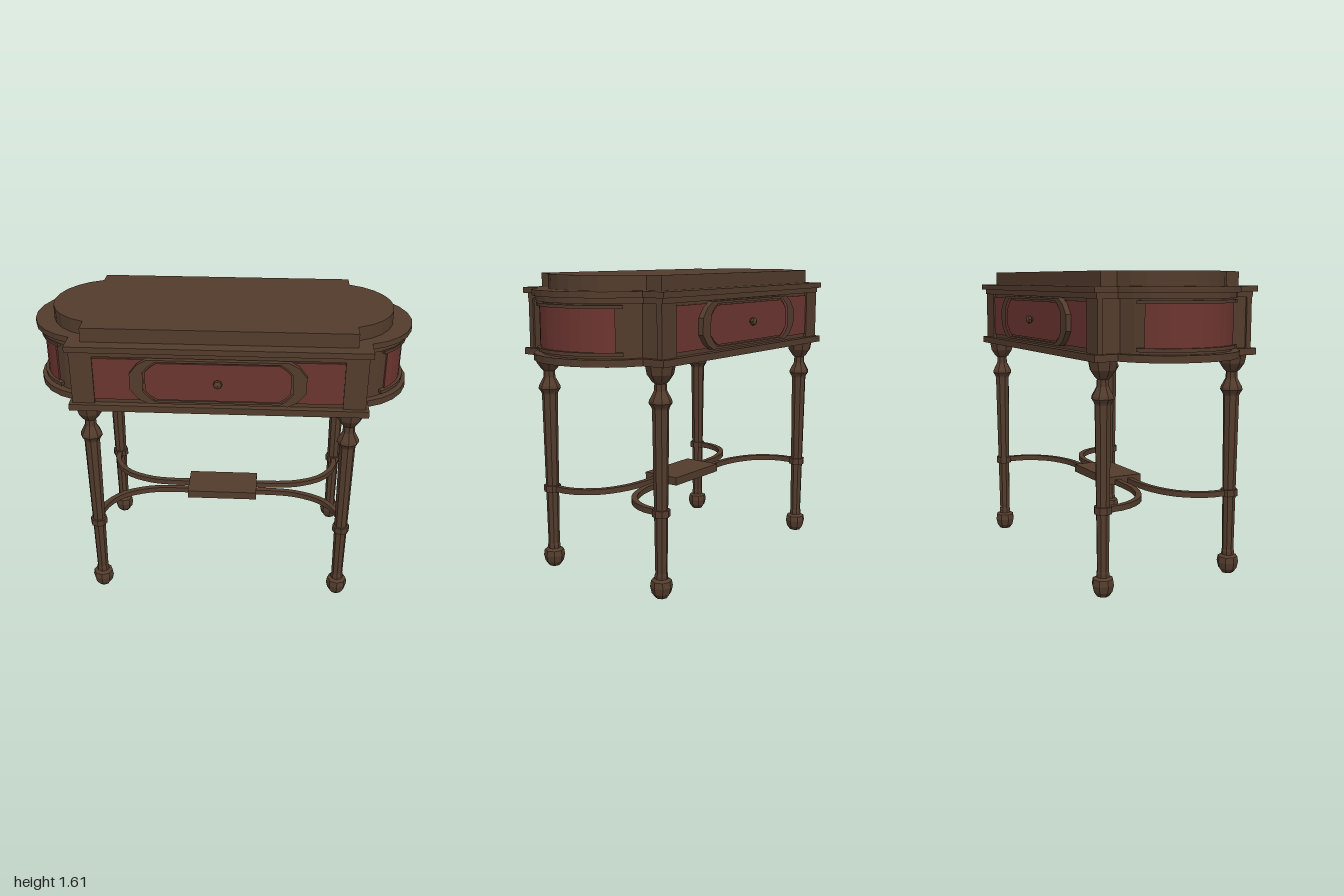
import * as THREE from 'three';

const wood = new THREE.MeshStandardMaterial({ color: 0x533c2d, flatShading: true });
wood.name = 'dark wood';
const red = new THREE.MeshStandardMaterial({ color: 0x6c3530, flatShading: true });
red.name = 'red panel';

// Points of the bowed right end, running from z = +zs to z = -zs
function bow(X, zs, E, n = 10, limit = 1) {
  const cx = X - 0.1, rx = E - cx;
  const t0 = Math.acos(0.1 / rx), rz = zs / Math.sin(t0);
  const pts = [];
  for (let i = 0; i <= n; i++) {
    const t = t0 * limit * (1 - (2 * i) / n);
    pts.push(new THREE.Vector2(cx + rx * Math.cos(t), rz * Math.sin(t)));
  }
  return pts;
}

// Flat slab of a given plan between two heights
function slab(points, y0, y1) {
  const g = new THREE.ExtrudeGeometry(new THREE.Shape(points), { depth: y1 - y0, bevelEnabled: false });
  return g.rotateX(-Math.PI / 2).translate(0, y0, 0);
}

// Rectangle with stepped corners and bowed ends
function plan(X, Z, zs, E) {
  const half = [new THREE.Vector2(X, Z), ...bow(X, zs, E), new THREE.Vector2(X, -Z)];
  return [...half, ...half.map((p) => new THREE.Vector2(-p.x, -p.y))];
}

// Rounded-end panel outline, slightly octagonal
function cartouche(Path, w, h, cut, bulge) {
  const p = new Path();
  const side = [[w - cut, h], [w - cut * 0.45, h * 0.78], [w, h * 0.35 * bulge], [w, -h * 0.35 * bulge],
    [w - cut * 0.45, -h * 0.78], [w - cut, -h]];
  const all = [...side, ...side.map(([x, y]) => [-x, -y])];
  p.setFromPoints(all.map(([x, y]) => new THREE.Vector2(x, y)));
  p.closePath();
  return p;
}

export function createModel() {
  const table = new THREE.Group();
  table.name = 'consoleTable';
  const add = (parent, name, geometry, material = wood, x = 0, y = 0, z = 0) => {
    const m = new THREE.Mesh(geometry, material);
    m.name = name;
    m.position.set(x, y, z);
    parent.add(m);
    return m;
  };
  const box = (w, h, d) => new THREE.BoxGeometry(w, h, d);

  // Stacked top, apron and base moulding
  add(table, 'topSlab', slab(plan(0.69, 0.4, 0.31, 0.9), 1.525, 1.605));
  add(table, 'topMoulding', slab(plan(0.762, 0.468, 0.345, 1.0), 1.502, 1.532));
  add(table, 'underMoulding', slab(plan(0.745, 0.45, 0.335, 0.98), 1.475, 1.504));
  add(table, 'apron', slab(plan(0.735, 0.43, 0.32, 0.95), 1.21, 1.48));
  add(table, 'baseMoulding', slab(plan(0.762, 0.468, 0.345, 0.995), 1.18, 1.215));

  // Drawer faces on front and back
  for (const s of [1, -1]) {
    const face = new THREE.Group();
    face.name = s > 0 ? 'frontFace' : 'backFace';
    face.rotation.y = s > 0 ? 0 : Math.PI;
    table.add(face);
    add(face, 'friezePanel', box(1.26, 0.225, 0.008), red, 0, 1.348, 0.433);
    for (const x of [-1, 1]) add(face, 'cornerPost', box(0.115, 0.265, 0.03), wood, x * 0.6875, 1.3475, 0.43);
    const ring = cartouche(THREE.Shape, 0.443, 0.12, 0.09, 1);
    ring.holes.push(cartouche(THREE.Path, 0.375, 0.108, 0.06, 1.4));
    add(face, 'drawerFrame', new THREE.ExtrudeGeometry(ring, { depth: 0.035, bevelEnabled: false }), wood, 0, 1.35, 0.43);
    const panel = cartouche(THREE.Shape, 0.366, 0.1, 0.06, 1.4);
    add(face, 'drawerPanel', new THREE.ExtrudeGeometry(panel, { depth: 0.008, bevelEnabled: false }), red, 0, 1.35, 0.45);
    const back = cartouche(THREE.Shape, 0.376, 0.109, 0.06, 1.4);
    add(face, 'drawerBacking', new THREE.ExtrudeGeometry(back, { depth: 0.018, bevelEnabled: false }), wood, 0, 1.35, 0.433);
    const knob = new THREE.LatheGeometry([[0, 0], [0.012, 0], [0.012, 0.012], [0.024, 0.02], [0.02, 0.033], [0, 0.042]]
      .map(([r, h]) => new THREE.Vector2(r, h)), 8);
    add(face, 'knob', knob.rotateX(Math.PI / 2), wood, 0, 1.35, 0.452);
  }

  // Curved panels with edge mouldings on both ends
  const strip = (outer, limit, y0, y1) => {
    const out = bow(0.735, 0.32 + (outer - 0.95) * 0.8, outer, 10, limit);
    return slab([...out, ...bow(0.735, 0.30, 0.93, 10, limit).reverse()], y0, y1);
  };
  for (const s of [1, -1]) {
    const end = new THREE.Group();
    end.name = s > 0 ? 'leftEnd' : 'rightEnd';
    end.rotation.y = s > 0 ? 0 : Math.PI;
    table.add(end);
    add(end, 'endPanel', strip(0.958, 0.66, 1.245, 1.455), red);
    add(end, 'lowerEndMoulding', strip(0.975, 0.74, 1.228, 1.246));
    add(end, 'upperEndMoulding', strip(0.975, 0.74, 1.452, 1.468));
  }

  // Turned legs, collars and curved stretcher arms
  const legProfile = [[0, 0], [0.032, 0], [0.05, 0.025], [0.058, 0.06], [0.053, 0.09], [0.034, 0.1], [0.034, 0.12],
    [0.031, 0.13], [0.042, 0.965], [0.046, 0.975], [0.059, 0.995], [0.056, 1.01], [0.032, 1.055], [0.03, 1.09],
    [0.042, 1.1], [0.066, 1.135], [0.076, 1.185], [0, 1.185]].map(([r, y]) => new THREE.Vector2(r, y));
  const legGeo = new THREE.LatheGeometry(legProfile, 8);
  const collarGeo = new THREE.CylinderGeometry(0.046, 0.046, 0.036, 8);
  const section = new THREE.Shape([[-1, -1], [1, -1], [1, 1], [-1, 1]]
    .map(([x, y]) => new THREE.Vector2(x * 0.015, y * 0.015)));
  const armPoints = [[0.675, 0.38], [0.665, 0.25], [0.58, 0.125], [0.43, 0.055], [0.3, 0.04], [0.18, 0.04]];
  for (const sx of [1, -1]) for (const sz of [1, -1]) {
    const name = (sz > 0 ? 'front' : 'back') + (sx > 0 ? 'Left' : 'Right');
    add(table, name + 'Leg', legGeo, wood, sx * 0.675, 0, sz * 0.38);
    add(table, name + 'Collar', collarGeo, wood, sx * 0.675, 0.442, sz * 0.38);
    const path = new THREE.CatmullRomCurve3(armPoints.map(([x, z]) => new THREE.Vector3(sx * x, 0.442, sz * z)));
    add(table, name + 'Stretcher', new THREE.ExtrudeGeometry(section, { steps: 14, bevelEnabled: false, extrudePath: path }));
  }
  add(table, 'stretcherPlate', box(0.4, 0.045, 0.22), wood, 0, 0.4515, 0);

  return table;
}
